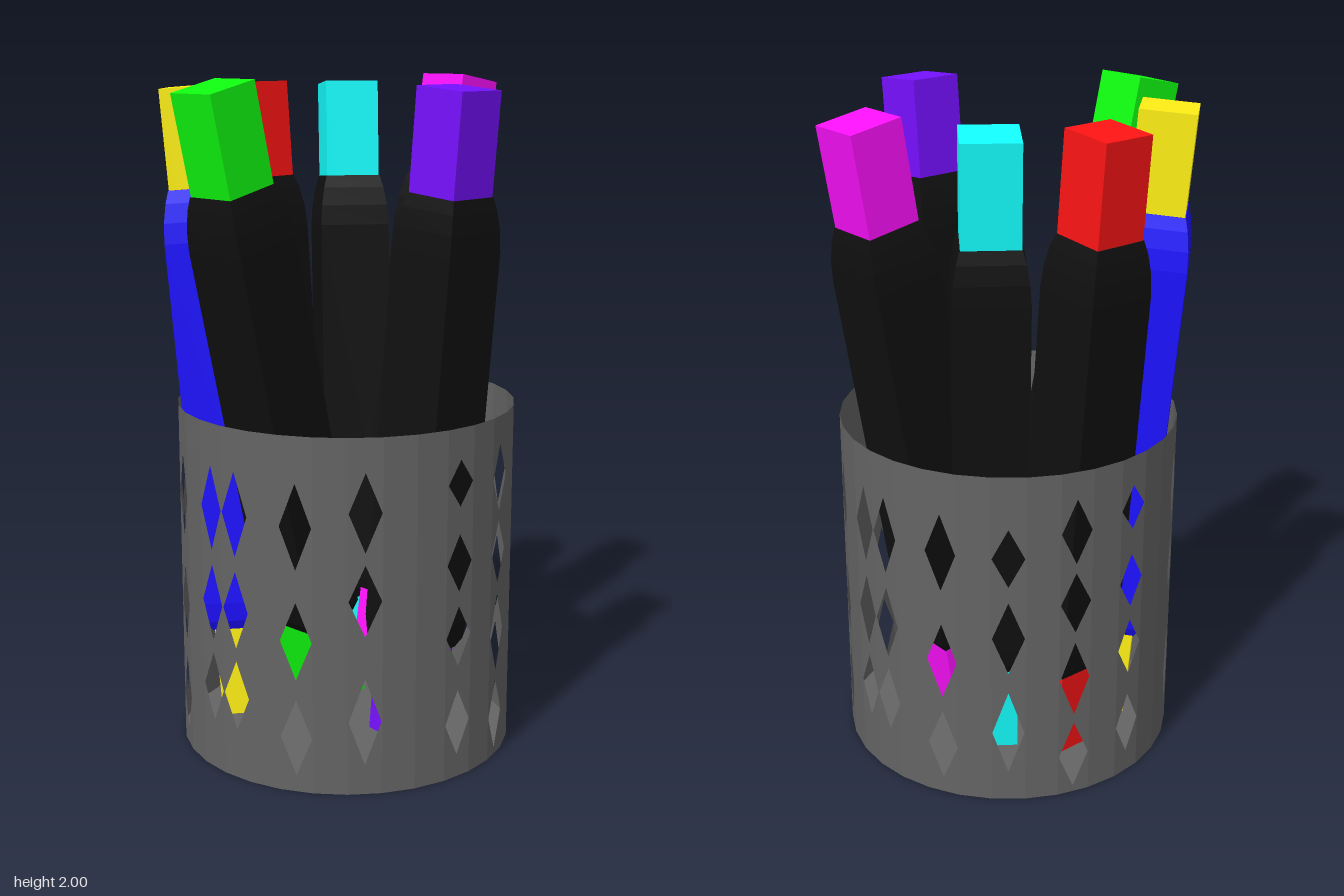
import * as THREE from 'three';
import { mergeGeometries } from 'three/addons/utils/BufferGeometryUtils.js';

const RADIUS = 0.505, HEIGHT = 1.05, SIDES = 32;
const STEP = (Math.PI * 2) / SIDES;
const rad = THREE.MathUtils.degToRad;

// Diamond cut-outs [centre height, half height], by wall panel counted from the front
const CUTOUTS = {
  0: [[0.8, 0.125], [0.515, 0.115], [0.255, 0.105]],
  2: [[0.79, 0.125], [0.455, 0.115], [0.165, 0.115]],
  4: [[0.835, 0.115], [0.58, 0.105], [0.22, 0.13]],
  7: [[0.89, 0.068], [0.655, 0.085], [0.435, 0.09], [0.17, 0.1]],
  9: [[0.865, 0.1], [0.64, 0.095], [0.39, 0.12], [0.13, 0.11]],
  11: [[0.8, 0.09], [0.545, 0.115], [0.23, 0.135]],
  13: [[0.8, 0.12], [0.45, 0.12], [0.165, 0.115]],
  15: [[0.8, 0.12], [0.515, 0.115], [0.255, 0.105]],
};

function mat(color, extra = {}) {
  return new THREE.MeshStandardMaterial({ color, flatShading: true, ...extra });
}

// One flat wall panel with its diamonds cut out
function wallPanel(index, cutouts) {
  const w = RADIUS * Math.sin(STEP / 2), d = w * 0.95;
  const shape = new THREE.Shape([
    new THREE.Vector2(-w, 0), new THREE.Vector2(w, 0),
    new THREE.Vector2(w, HEIGHT), new THREE.Vector2(-w, HEIGHT),
  ]);
  for (const [y, h] of cutouts) {
    shape.holes.push(new THREE.Path([
      new THREE.Vector2(0, y - h), new THREE.Vector2(-d, y),
      new THREE.Vector2(0, y + h), new THREE.Vector2(d, y),
    ]));
  }
  return new THREE.ShapeGeometry(shape)
    .translate(0, 0, RADIUS * Math.cos(STEP / 2))
    .rotateY((index + 0.5) * STEP);
}

function makeCup() {
  const cup = new THREE.Group();
  cup.name = 'cup';
  const material = mat(0x646464, { side: THREE.DoubleSide });

  // Left half of the wall and its mirrored right half
  const panels = [];
  for (let i = 0; i < SIDES / 2; i++) {
    const cutouts = CUTOUTS[i] || [];
    panels.push(wallPanel(i, cutouts), wallPanel(-i - 1, cutouts));
  }
  const wall = new THREE.Mesh(mergeGeometries(panels), material);
  wall.name = 'cupWall';

  const floor = new THREE.Mesh(new THREE.CircleGeometry(RADIUS, SIDES), material);
  floor.rotation.x = -Math.PI / 2;
  floor.position.y = 0.002;
  floor.name = 'cupFloor';
  cup.add(wall, floor);
  return cup;
}

// Square bar whose half width follows a [half width, y] profile
function squareBar(profile) {
  const points = profile.map(([half, y]) => new THREE.Vector2(half * Math.SQRT2, y));
  return new THREE.LatheGeometry(points, 4, Math.PI / 4);
}

// Pen with its origin at the top, hanging down local -y
const CORE = squareBar([[0, -1.91], [0.081, -1.91], [0.081, 0], [0, 0]]);
const SLEEVE = squareBar([
  [0, -1.63], [0.086, -1.63], [0.1, -1.6], [0.106, -1.54],
  [0.106, -0.44], [0.102, -0.38], [0.093, -0.325], [0.083, -0.288], [0, -0.288],
]);

function makePen({ name, color, sleeve = 0x101010, facing, tilt, top }) {
  const pen = new THREE.Group();
  pen.name = name;
  const core = new THREE.Mesh(CORE, mat(color));
  core.name = 'penCore';
  const body = new THREE.Mesh(SLEEVE, mat(sleeve));
  body.name = 'penSleeve';
  pen.add(core, body);
  pen.rotation.set(rad(tilt), rad(facing), 0, 'YXZ');
  pen.position.set(...top);
  return pen;
}

export function createModel() {
  const model = new THREE.Group();
  model.name = 'penCup';
  model.add(makeCup());

  // Pens leaning outward around the cup
  const pens = [
    { name: 'greenPen', color: 0x10ff10, facing: 0, tilt: 13, top: [0, 1.98, 0.508] },
    { name: 'purplePen', color: 0x7610ff, facing: 90, tilt: 5, top: [0.45, 1.975, 0.025] },
    { name: 'magentaPen', color: 0xff10ff, facing: 180, tilt: 9.7, top: [0, 1.985, -0.505] },
    { name: 'cyanPen', color: 0x14ffff, facing: -126, tilt: 5, top: [-0.28, 1.97, -0.292] },
    { name: 'redPen', color: 0xff1414, facing: -90, tilt: 4.8, top: [-0.45, 1.97, -0.035] },
    { name: 'yellowPen', color: 0xfff014, sleeve: 0x1c10ff, facing: -48, tilt: 4.6, top: [-0.325, 1.97, 0.31] },
  ];
  for (const pen of pens) model.add(makePen(pen));
  return model;
}
